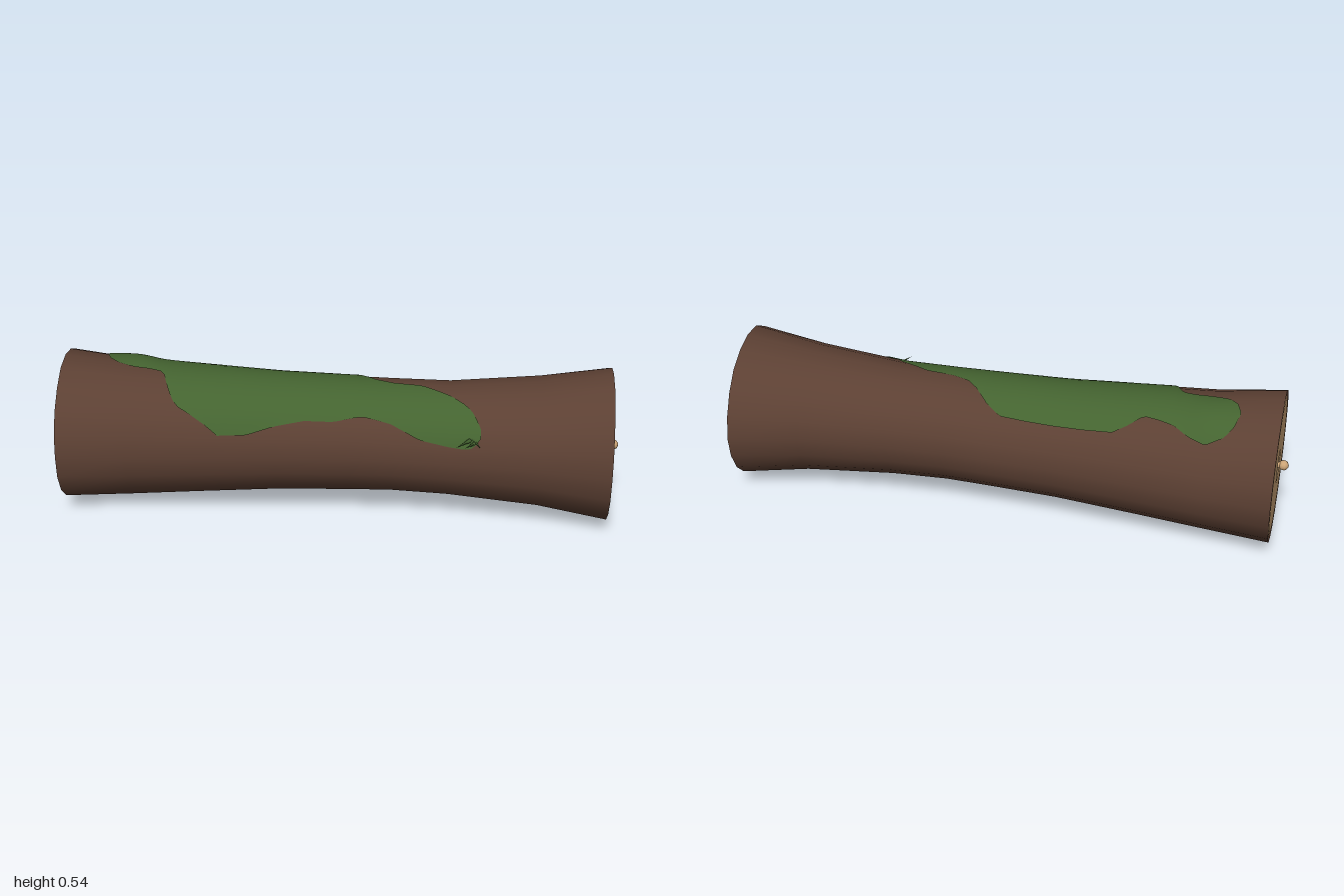
import * as THREE from 'three';

// log stations: x, centre height, radius
const LOG = [
  [-0.965, 0.276, 0.268], [-0.72, 0.269, 0.245], [-0.48, 0.272, 0.229],
  [-0.2, 0.275, 0.211], [0.05, 0.277, 0.204], [0.2, 0.278, 0.201],
  [0.4, 0.274, 0.204], [0.72, 0.276, 0.232], [0.965, 0.274, 0.271],
];
// moss outline: x, back angle, front angle (degrees from the top, + towards the front)
const MOSS = [
  [-0.825, -18, -15], [-0.81, -30, -6], [-0.78, -39, 0], [-0.72, -46, 4], [-0.66, -41, 5], [-0.61, -33, 8],
  [-0.58, -31, 30], [-0.55, -29, 43], [-0.5, -27, 50], [-0.45, -37, 58], [-0.4, -45, 68],
  [-0.3, -46, 67], [-0.2, -46, 58], [-0.1, -45, 52], [0, -43, 52], [0.06, -30, 48],
  [0.1, -16, 46], [0.14, -6, 48], [0.2, 0, 52], [0.3, 3, 66], [0.4, 17, 71],
  [0.46, 30, 73], [0.49, 40, 71], [0.513, 54, 62],
];
const SIDES = 20, END = 0.965;

// piecewise linear lookup in a table keyed by its first column
function sample(table, x) {
  let i = 0;
  while (i < table.length - 2 && x > table[i + 1][0]) i++;
  const a = table[i], b = table[i + 1];
  const t = THREE.MathUtils.clamp((x - a[0]) / (b[0] - a[0]), 0, 1);
  return a.map((v, k) => v + (b[k] - v) * t);
}

// point on the log; the ends are a little ragged
function logPoint(x, angle, lift = 0) {
  const [, cy, r] = sample(LOG, x);
  const ragged = Math.pow(Math.abs(x) / END, 8);
  const radius = r + lift + ragged * (0.003 * Math.sin(3 * angle + 1) + 0.002 * Math.sin(7 * angle));
  return [x, cy + radius * Math.cos(angle), radius * Math.sin(angle)];
}

// grid surface; closed grids join the last column to the first
function skin(rows, cols, closed, point) {
  const pos = [], index = [];
  for (let i = 0; i < rows; i++) for (let j = 0; j < cols; j++) pos.push(...point(i, j));
  for (let i = 0; i < rows - 1; i++) {
    for (let j = 0; j < (closed ? cols : cols - 1); j++) {
      const a = i * cols + j, b = i * cols + (j + 1) % cols;
      index.push(a, b, a + cols, b, b + cols, a + cols);
    }
  }
  const g = new THREE.BufferGeometry();
  g.setAttribute('position', new THREE.Float32BufferAttribute(pos, 3));
  g.setIndex(index);
  g.computeVertexNormals();
  return g;
}

export function createModel() {
  const group = new THREE.Group();
  const material = (name, color, side = THREE.FrontSide) => {
    const m = new THREE.MeshStandardMaterial({ color, side });
    m.name = name;
    return m;
  };
  const bark = material('bark', 0x5c4033, THREE.DoubleSide);
  const wood = material('cutWood', 0xcda577);
  const moss = material('moss', 0x446330, THREE.DoubleSide);
  const add = (name, geometry, mat) => {
    const mesh = new THREE.Mesh(geometry, mat);
    mesh.name = name;
    group.add(mesh);
    return mesh;
  };
  const turn = (j) => (j / SIDES) * Math.PI * 2;

  // bark tube
  add('bark', skin(LOG.length, SIDES, true, (i, j) => logPoint(LOG[i][0], turn(j))), bark);

  // both ends: bark lip, cut face with a dimple, and pith knob
  for (const side of [1, -1]) {
    const label = side > 0 ? 'left' : 'right';
    const cy = sample(LOG, side * END)[1];
    add(label + 'BarkLip', skin(2, SIDES, true, (i, j) => {
      const k = side > 0 ? i : 1 - i;
      const [x, y, z] = logPoint(side * END, turn(j));
      const inner = k === (side > 0 ? 1 : 0);
      const s = inner ? 0.93 : 1;
      return [x - (inner ? side * 0.008 : 0), cy + (y - cy) * s, z * s];
    }), bark);
    const face = [[0.262, 0.953], [0.255, 0.961], [0.235, 0.965], [0.06, 0.965], [0.02, 0.959], [0, 0.958]];
    const cut = new THREE.LatheGeometry(face.map(([r, h]) => new THREE.Vector2(r, h)), SIDES);
    cut.rotateZ(-side * Math.PI / 2);
    add(label + 'CutFace', cut, wood).position.y = cy;
    const knob = add(label + 'Pith', new THREE.SphereGeometry(0.018, 10, 8), wood);
    knob.position.set(side * 0.982, cy, 0.008);
    const stem = add(label + 'PithStem', new THREE.CylinderGeometry(0.01, 0.014, 0.03, 8), wood);
    stem.rotation.z = -side * Math.PI / 2;
    stem.position.set(side * 0.968, cy, 0.008);
  }

  // moss blanket, swelling slightly at its right end
  const ROWS = 86, COLS = 17;
  const x0 = MOSS[0][0], x1 = MOSS[MOSS.length - 1][0];
  add('moss', skin(ROWS, COLS, false, (i, j) => {
    const x = x0 + (x1 - x0) * i / (ROWS - 1), t = j / (COLS - 1);
    const [, back, front] = sample(MOSS, x);
    const swell = 0.012 * Math.exp(-Math.pow((x + 0.72) / 0.07, 2)) * Math.sin(Math.PI * t);
    return logPoint(x, THREE.MathUtils.degToRad(back + (front - back) * t), 0.003 + swell);
  }), moss);

  // small sprig at the moss tip
  for (const [tip, root] of [
    [[0.43, 0.375, 0.26], [0.475, 0.37, 0.195]],
    [[0.46, 0.36, 0.235], [0.5, 0.36, 0.185]],
    [[0.515, 0.35, 0.215], [0.48, 0.375, 0.18]],
  ]) {
    const a = new THREE.Vector3(...root), d = new THREE.Vector3(...tip).sub(a);
    const leaf = add('sprig', new THREE.ConeGeometry(0.008, d.length(), 5), moss);
    leaf.position.copy(a).addScaledVector(d, 0.5);
    leaf.quaternion.setFromUnitVectors(new THREE.Vector3(0, 1, 0), d.normalize());
  }
  return group;
}
